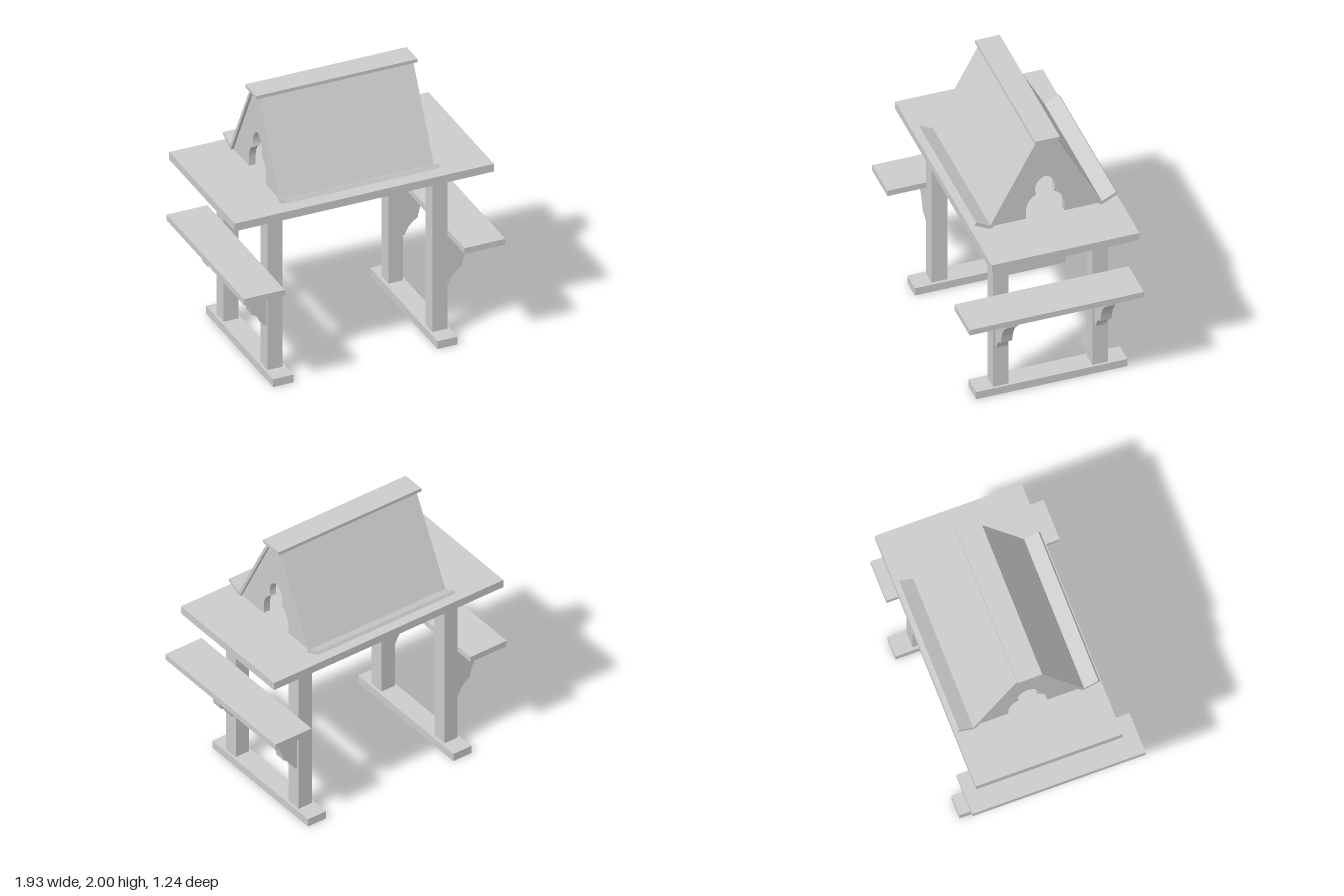
import * as THREE from 'three';
import { toCreasedNormals } from 'three/addons/utils/BufferGeometryUtils.js';

const material = new THREE.MeshStandardMaterial({ color: 0xcccccc, side: THREE.DoubleSide });
const MID_Z = -0.067; // centre line of the desk and its gabled stand

// Box given by its extents on each axis
function box(name, [x0, x1], [y0, y1], [z0, z1]) {
  const mesh = new THREE.Mesh(new THREE.BoxGeometry(x1 - x0, y1 - y0, z1 - z0), material);
  mesh.position.set((x0 + x1) / 2, (y0 + y1) / 2, (z0 + z1) / 2);
  mesh.name = name;
  return mesh;
}

// Extrusion centred on its own depth
function extrude(name, shape, depth) {
  const geometry = new THREE.ExtrudeGeometry(shape, { depth, bevelEnabled: false, curveSegments: 10 });
  geometry.translate(0, 0, -depth / 2);
  const mesh = new THREE.Mesh(toCreasedNormals(geometry, 0.5), material);
  mesh.name = name;
  return mesh;
}

// Extrusion along x of a profile drawn in (z, y)
function extrudeAlongX(name, shape, width, x = 0) {
  const mesh = extrude(name, shape, width);
  mesh.rotation.y = -Math.PI / 2;
  mesh.position.set(x, 0, MID_Z);
  return mesh;
}

function polygon(points) {
  return new THREE.Shape(points.map(([x, y]) => new THREE.Vector2(x, y)));
}

// Two concave and convex sweeps under the bench; side is +1 or -1 in x
function bracketShape(side) {
  const s = new THREE.Shape();
  s.moveTo(side * 0.66, 0.785);
  s.lineTo(side * 0.888, 0.785);
  s.lineTo(side * 0.888, 0.71);
  s.bezierCurveTo(side * 0.825, 0.665, side * 0.792, 0.6, side * 0.777, 0.51);
  s.bezierCurveTo(side * 0.735, 0.49, side * 0.695, 0.45, side * 0.685, 0.4);
  s.lineTo(side * 0.66, 0.4);
  return s;
}

// Trapezoid gable with a keyhole arch open at the bottom
function gableShape() {
  const s = new THREE.Shape();
  s.moveTo(0.138, 1.33);
  s.lineTo(0.385, 1.33);
  s.lineTo(0.05, 1.976);
  s.lineTo(-0.05, 1.976);
  s.lineTo(-0.385, 1.33);
  s.lineTo(-0.138, 1.33);
  s.lineTo(-0.138, 1.39);
  s.bezierCurveTo(-0.138, 1.45, -0.105, 1.5, -0.064, 1.515);
  s.bezierCurveTo(-0.082, 1.57, -0.07, 1.635, 0, 1.66);
  s.bezierCurveTo(0.07, 1.635, 0.082, 1.57, 0.064, 1.515);
  s.bezierCurveTo(0.105, 1.5, 0.138, 1.45, 0.138, 1.39);
  s.lineTo(0.138, 1.33);
  return s;
}

export function createModel() {
  const model = new THREE.Group();
  model.name = 'readingDesk';

  // Table top
  model.add(box('tableTop', [-0.96, 0.956], [1.27, 1.33], [-0.594, 0.46]));

  // Trestle sides with legs, feet, benches and brackets
  for (const side of [1, -1]) {
    const label = side > 0 ? 'left' : 'right';
    const span = (a, b) => (side > 0 ? [a, b] : [-b, -a]);
    const trestle = new THREE.Group();
    trestle.name = label + 'Trestle';
    trestle.add(box('foot', span(0.532, 0.682), [0, 0.06], [-0.607, 0.473]));
    trestle.add(box('bench', span(0.664, 0.966), [0.785, 0.83], [-0.622, 0.622]));
    for (const z of [0.29, -0.42]) {
      trestle.add(box('leg', span(0.554, 0.664), [0.06, 1.27], [z - 0.056, z + 0.056]));
      const bracket = extrude('bracket', bracketShape(side), 0.08);
      bracket.position.z = z;
      trestle.add(bracket);
    }
    model.add(trestle);
  }

  // Gabled book stand
  const stand = new THREE.Group();
  stand.name = 'bookStand';
  for (const side of [1, -1]) {
    const mirror = (points) => polygon(points.map(([z, y]) => [side * z, y]));
    const slope = mirror([[0.383, 1.33], [0.411, 1.33], [0.07, 1.976], [0.048, 1.976]]);
    stand.add(extrudeAlongX('slopingPanel', slope, 1.14));
    const ledge = mirror([[0.409, 1.332], [0.513, 1.385], [0.5, 1.406], [0.397, 1.354]]);
    stand.add(extrudeAlongX('bookLedge', ledge, 1.14));
    stand.add(extrudeAlongX('gable', gableShape(), 0.05, side * 0.525));
  }
  stand.add(box('ridgeCap', [-0.597, 0.594], [1.975, 2], [-0.156, 0.02]));
  model.add(stand);

  return model;
}
